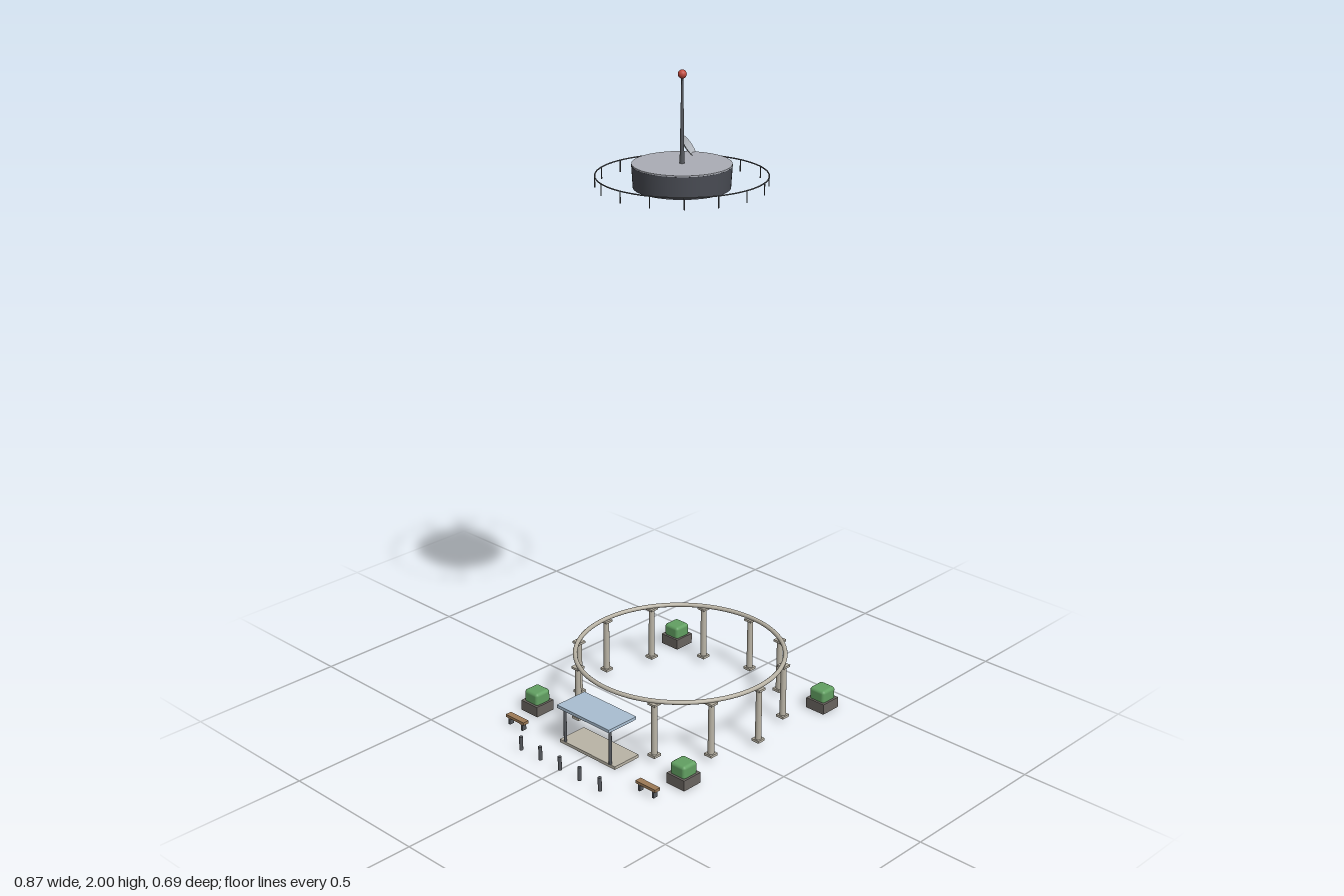
import * as THREE from 'three';
import { RoundedBoxGeometry } from 'three/addons/geometries/RoundedBoxGeometry.js';

const CX = 0.085; // axis shared by the colonnade and the roof

export function createModel() {
  const model = new THREE.Group();
  const paint = (color, extra = {}) => new THREE.MeshStandardMaterial({ color, ...extra });
  const stone = paint(0xbab4a6), dark = paint(0x4a4d55), metal = paint(0x56595e), pale = paint(0xaaadb5);
  const glass = paint(0xa9bed1), wood = paint(0x9c7a56), pot = paint(0x6a6560), leaf = paint(0x62a062);
  const red = paint(0xc24a3e), dishPaint = paint(0xb0b4ba, { side: THREE.DoubleSide });

  const add = (name, geometry, material, x, y, z, parent = model) => {
    const mesh = new THREE.Mesh(geometry, material);
    mesh.name = name;
    mesh.position.set(x, y, z);
    parent.add(mesh);
    return mesh;
  };
  const group = (name) => {
    const g = new THREE.Group();
    g.name = name;
    model.add(g);
    return g;
  };
  const box = (w, h, d) => new THREE.BoxGeometry(w, h, d);
  const rod = (top, bottom, h, n = 16) => new THREE.CylinderGeometry(top, bottom, h, n);

  // Colonnade: ring beam on eleven columns, with a gap at the entrance
  const colonnade = group('colonnade');
  add('ringBeam', new THREE.TorusGeometry(0.323, 0.007, 10, 96), stone, CX, 0.198, 0, colonnade).rotation.x = Math.PI / 2;
  for (let i = 0; i < 12; i++) {
    if (i === 6) continue;
    const a = (i * Math.PI) / 6;
    const x = CX + 0.324 * Math.cos(a), z = 0.324 * Math.sin(a);
    add('column', rod(0.009, 0.01, 0.175), stone, x, 0.1045, z, colonnade);
    add('columnBase', box(0.028, 0.008, 0.028), stone, x, 0.019, z, colonnade);
    add('columnCapital', box(0.028, 0.007, 0.028), stone, x, 0.19, z, colonnade);
  }

  // Entrance canopy
  const entrance = group('entrance');
  add('canopy', box(0.114, 0.01, 0.22), glass, -0.276, 0.131, 0, entrance);
  add('platform', box(0.1, 0.01, 0.235), stone, -0.267, 0.005, 0, entrance);
  for (const s of [-1, 1]) add('canopyPost', rod(0.005, 0.005, 0.118, 10), metal, -0.314, 0.068, s * 0.096, entrance);

  // Planters with clipped shrubs, and benches
  for (const s of [-1, 1]) {
    for (const x of [-0.228, 0.398]) {
      add('planter', box(0.07, 0.034, 0.07), pot, x, 0.017, s * 0.312);
      add('shrub', new RoundedBoxGeometry(0.058, 0.044, 0.058, 3, 0.01), leaf, x, 0.05, s * 0.312);
    }
    add('benchSeat', box(0.021, 0.009, 0.079), wood, -0.343, 0.027, s * 0.279);
    for (const e of [-1, 1]) add('benchLeg', box(0.016, 0.023, 0.007), metal, -0.343, 0.0115, s * 0.279 + e * 0.028);
  }

  // Row of bollards
  for (let i = -2; i <= 2; i++) add('bollard', rod(0.006, 0.006, 0.044, 12), metal, -0.428, 0.022, i * 0.084);

  // Rooftop drum with a pale top
  const roof = group('roof');
  add('roofDrum', rod(0.143, 0.139, 0.065, 64), dark, CX, 1.6985, 0, roof);
  add('roofTop', rod(0.1425, 0.1425, 0.004, 64), pale, CX, 1.733, 0, roof);

  // Railing hoop with sixteen posts
  const railing = group('railing');
  add('railingHoop', new THREE.TorusGeometry(0.246, 0.002, 8, 96), metal, CX, 1.701, 0, railing).rotation.x = Math.PI / 2;
  for (let i = 0; i < 16; i++) {
    const a = (i * Math.PI) / 8;
    add('railingPost', rod(0.0018, 0.0018, 0.035, 6), metal, CX + 0.246 * Math.cos(a), 1.684, 0.246 * Math.sin(a), railing);
  }

  // Mast with a beacon
  add('mast', rod(0.003, 0.007, 0.25, 12), metal, CX, 1.857, 0, roof);
  add('beacon', new THREE.SphereGeometry(0.0125, 20, 14), red, CX, 1.9875, 0, roof);

  // Tilted dish
  const bowl = [[0, 0], [0.013, 0.001], [0.026, 0.005], [0.037, 0.011]].map(([r, y]) => new THREE.Vector2(r, y));
  const dish = add('dish', new THREE.LatheGeometry(bowl, 24), dishPaint, 0.177, 1.75, -0.071, roof);
  dish.quaternion.setFromUnitVectors(new THREE.Vector3(0, 1, 0), new THREE.Vector3(0.45, 0.55, 0.65).normalize());

  return model;
}
